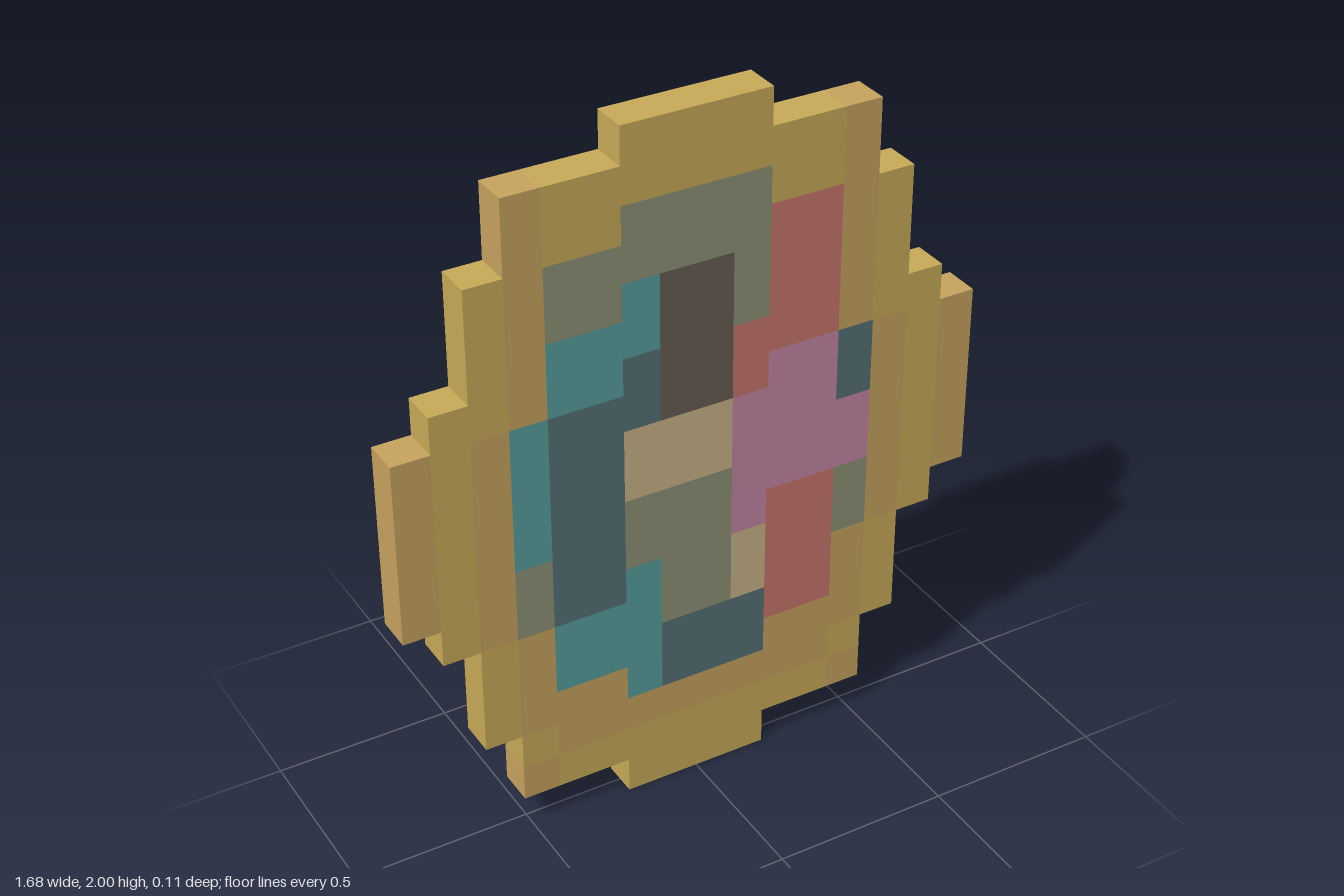
import * as THREE from 'three';
import { mergeGeometries } from 'three/addons/utils/BufferGeometryUtils.js';

// One character per square cell, top row first; '.' is empty
const MAP = [
  '......gggg......',
  '...agggggggga...',
  '...aggoooogga...',
  '..gaooooooccag..',
  '..gaootbboccag..',
  '..gatttbboccag..',
  '.ggattsbbcccagg.',
  'aaatsssbbcppsaaa'.replace(/^aaa/, 'aga').replace(/aaa$/, 'aga'),
  'agatssnnnpppsaga',
  'agatssnnnppppaga',
  'agatssooopppPaga'.replace('P', 'p'),
  'agaossooopccoaga',
  '.gaosstoonccoag.',
  '..gatttoonccag..',
  '..gatttsssccag..',
  '..gaaatsssaaag..',
  '...gaaaaaaaag...',
  '...agggggggga...',
  '......gggg......',
];

// Letter -> part name, colour name, colour
const PARTS = {
  g: ['rimGold', 'gold', 0xc8ab58],
  a: ['rimTan', 'tan', 0xc7a35f],
  o: ['oliveInlay', 'olive', 0x8d9277],
  c: ['coralInlay', 'coral', 0xc9776e],
  t: ['tealInlay', 'teal', 0x579f9d],
  s: ['slateInlay', 'slate', 0x567278],
  b: ['brownInlay', 'brown', 0x685e54],
  n: ['sandInlay', 'sand', 0xc9b488],
  p: ['pinkInlay', 'pink', 0xc586a5],
};

const ROWS = MAP.length, COLS = 16;
const CELL = 2 / ROWS, HALF = CELL / 2;
const at = (r, c) => (MAP[r] && MAP[r][c]) || '.';

// Rectangle facing +z, turned about x and y, then moved into place
function quad(w, h, rx, ry, x, y, z) {
  return new THREE.PlaneGeometry(w, h).rotateX(rx).rotateY(ry).translate(x, y, z);
}

export function createModel() {
  const group = new THREE.Group();
  group.name = 'mosaicDisc';
  const faces = {};
  for (const key in PARTS) faces[key] = [];

  for (let r = 0; r < ROWS; r++) {
    const y = 2 - (r + 0.5) * CELL;

    // Front and back: one strip for each run of equal cells
    for (let c = 0; c < COLS;) {
      const key = at(r, c);
      let end = c + 1;
      while (end < COLS && at(r, end) === key) end++;
      if (key !== '.') {
        const w = (end - c) * CELL, x = ((c + end) / 2 - COLS / 2) * CELL;
        faces[key].push(quad(w, CELL, 0, 0, x, y, HALF), quad(w, CELL, 0, Math.PI, x, y, -HALF));
      }
      c = end;
    }

    // Stepped outer edge: a wall wherever the neighbour is empty
    for (let c = 0; c < COLS; c++) {
      const key = at(r, c);
      if (key === '.') continue;
      const x = (c + 0.5 - COLS / 2) * CELL, q = Math.PI / 2;
      if (at(r, c + 1) === '.') faces[key].push(quad(CELL, CELL, 0, q, x + HALF, y, 0));
      if (at(r, c - 1) === '.') faces[key].push(quad(CELL, CELL, 0, -q, x - HALF, y, 0));
      if (at(r - 1, c) === '.') faces[key].push(quad(CELL, CELL, -q, 0, x, y + HALF, 0));
      if (at(r + 1, c) === '.') faces[key].push(quad(CELL, CELL, q, 0, x, y - HALF, 0));
    }
  }

  // One mesh for each colour
  for (const key in PARTS) {
    const [partName, colourName, color] = PARTS[key];
    const material = new THREE.MeshStandardMaterial({ color });
    material.name = colourName;
    const mesh = new THREE.Mesh(mergeGeometries(faces[key]), material);
    mesh.name = partName;
    group.add(mesh);
  }
  return group;
}
